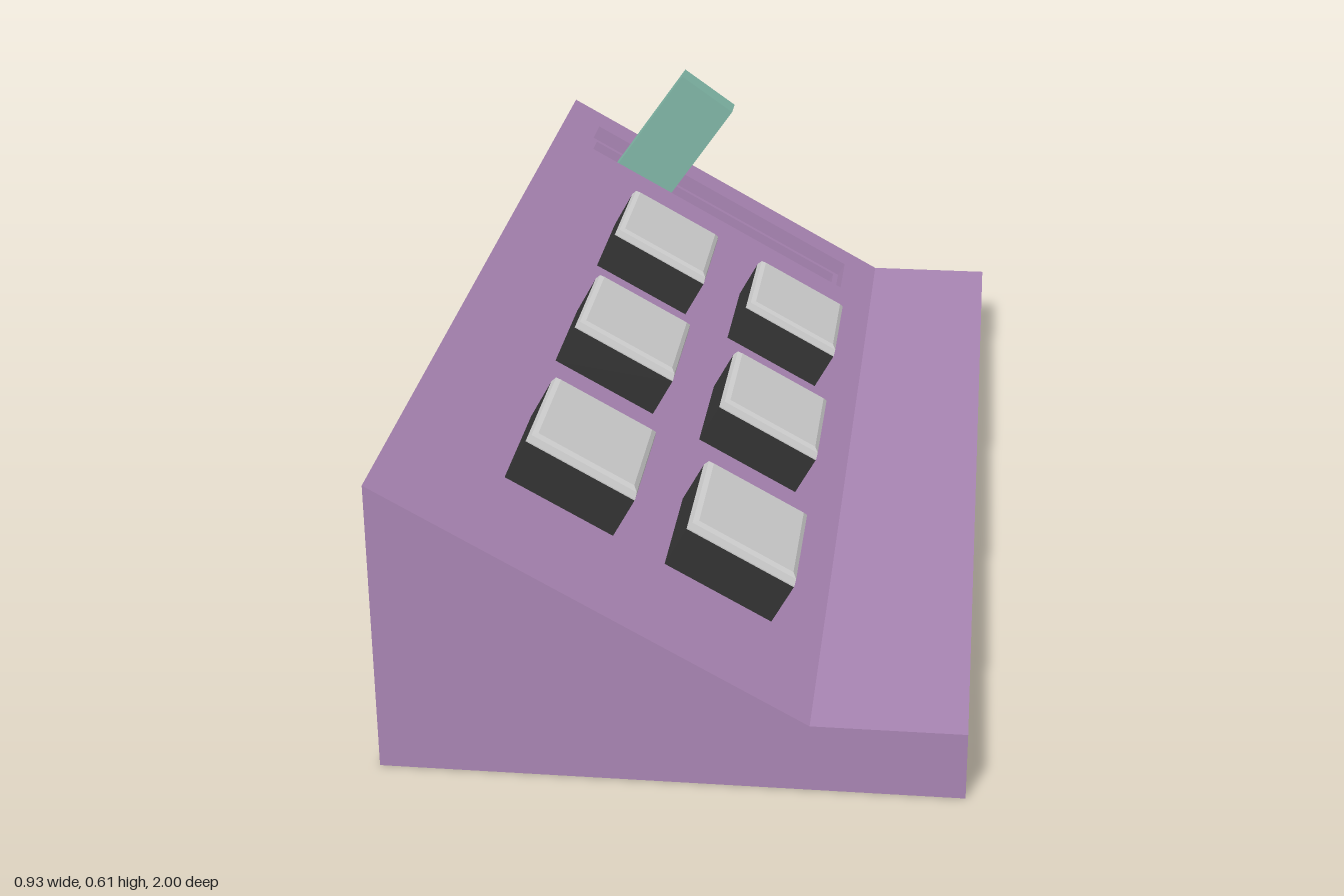
import * as THREE from 'three';

const mat = (color) => new THREE.MeshStandardMaterial({ color, flatShading: true, side: THREE.DoubleSide });

// Joins matching rows of points with quads
function loft(rows, closed) {
  const pos = rows.flat(2), n = rows[0].length, index = [];
  for (let r = 0; r < rows.length - 1; r++) {
    for (let i = 0; i < (closed ? n : n - 1); i++) {
      const j = (i + 1) % n, a = r * n + i, b = r * n + j, c = b + n, d = a + n;
      index.push(a, b, d, b, c, d);
    }
  }
  const indexed = new THREE.BufferGeometry();
  indexed.setAttribute('position', new THREE.Float32BufferAttribute(pos, 3));
  indexed.setIndex(index);
  const g = indexed.toNonIndexed();
  g.computeVertexNormals();
  return g;
}

function rect(x0, y0, x1, y1, Type = THREE.Shape) {
  return new Type([[x0, y0], [x1, y0], [x1, y1], [x0, y1]].map((p) => new THREE.Vector2(...p)));
}

export function createModel() {
  const model = new THREE.Group();
  const purple = mat(0xa884b2), dark = mat(0x333333), grey = mat(0xcccccc), green = mat(0x7fb5a5);
  const add = (parent, name, geo, material, x = 0, y = 0, z = 0) => {
    const m = new THREE.Mesh(geo, material);
    m.name = name;
    m.position.set(x, y, z);
    parent.add(m);
    return m;
  };

  // Wedge housing: ledge, front lip, base and back wall, then the two end walls
  const profile = [[0.22, 0.115], [0.465, 0.115], [0.465, 0], [-0.465, 0], [-0.465, 0.495]];
  add(model, 'housingShell', loft([1, -1].map((z) => profile.map(([x, y]) => [x, y, z]))), purple);
  const end = new THREE.ShapeGeometry(new THREE.Shape(profile.map((p) => new THREE.Vector2(...p))));
  add(model, 'frontEndWall', end, purple, 0, 0, 1);
  add(model, 'backEndWall', end, purple, 0, 0, -1).rotation.y = Math.PI;
  // mirror the back wall's outline while keeping it facing outward
  model.getObjectByName('backEndWall').rotation.y = 0;

  // Sloped panel: local x runs down the slope, y is its normal
  const slope = new THREE.Group();
  slope.name = 'slopedPanel';
  slope.position.set(-0.465, 0.495, 0);
  slope.rotation.z = Math.atan2(-0.38, 0.685);
  model.add(slope);
  const length = Math.hypot(0.38, 0.685);
  const [s0, s1, z0, z1] = [0.074, 0.708, -0.92, -0.775];
  const panel = rect(0, -1, length, 1);
  panel.holes.push(rect(s0, -z1, s1, -z0, THREE.Path));
  add(slope, 'panelFace', new THREE.ShapeGeometry(panel).rotateX(-Math.PI / 2), purple);

  // Stepped lever slot with a dark floor
  const ring = (inset, y) => [
    [s0 + inset, y, z1 - inset], [s1 - inset, y, z1 - inset],
    [s1 - inset, y, z0 + inset], [s0 + inset, y, z0 + inset],
  ];
  add(slope, 'slotWalls', loft([ring(0, 0), ring(0, -0.03), ring(0.012, -0.03), ring(0.012, -0.06)], true), purple);
  const floor = new THREE.PlaneGeometry(s1 - s0 - 0.024, z1 - z0 - 0.024).rotateX(-Math.PI / 2);
  add(slope, 'slotFloor', floor, dark, (s0 + s1) / 2, -0.06, (z0 + z1) / 2);

  // Lever leaning in the slot
  const lever = add(model, 'lever', new THREE.BoxGeometry(0.133, 0.3, 0.055), green, -0.232, 0.45, -0.845);
  lever.rotation.z = -0.617;

  // Six buttons: dark base with a bevelled light cap
  const base = new THREE.BoxGeometry(0.2, 0.076, 0.24);
  const cap = new THREE.ExtrudeGeometry(rect(-0.088, -0.108, 0.088, 0.108), {
    depth: 0.002, bevelThickness: 0.016, bevelSize: 0.012, bevelSegments: 2,
  }).rotateX(-Math.PI / 2);
  for (const s of [0.294, 0.59]) {
    for (const z of [0.637, 0.154, -0.328]) {
      const button = new THREE.Group();
      button.name = 'button';
      button.position.set(s, 0, z);
      slope.add(button);
      add(button, 'buttonBase', base, dark, 0, 0.037, 0);
      add(button, 'buttonCap', cap, grey, 0, 0.075, 0);
    }
  }
  return model;
}
